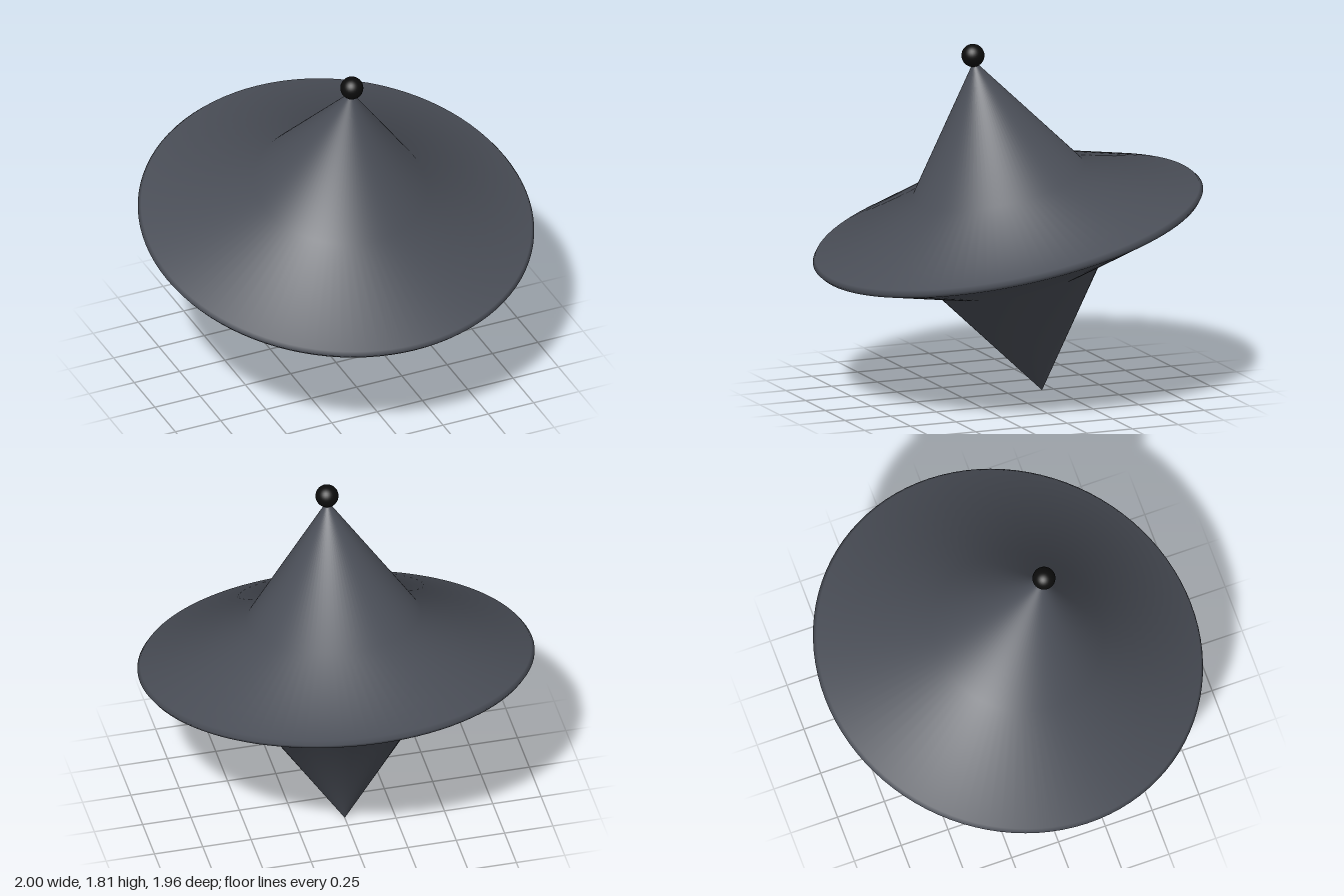
import * as THREE from 'three';

export function createModel() {
  const model = new THREE.Group();
  model.name = 'spinningTop';

  // Everything shares one leaning axis through the centre of the disc
  const top = new THREE.Group();
  top.name = 'tiltedTop';
  top.position.y = 0.867;
  top.rotation.x = 0.212;
  model.add(top);

  // Body: lower cone, flared disc with a thin rim, upper cone
  const profile = [
    [0, -0.885], [0.44, -0.243], [0.985, -0.02], [1, 0],
    [0.985, 0.02], [0.44, 0.243], [0, 0.885],
  ].map(([r, y]) => new THREE.Vector2(r, y));
  const body = new THREE.Mesh(
    new THREE.LatheGeometry(profile, 96),
    new THREE.MeshStandardMaterial({ color: 0x4a4e57 })
  );
  body.name = 'body';
  top.add(body);

  // Knob on the upper point
  const knob = new THREE.Mesh(
    new THREE.SphereGeometry(0.058, 32, 20),
    new THREE.MeshStandardMaterial({ color: 0x0c0c0c })
  );
  knob.name = 'knob';
  knob.position.y = 0.912;
  top.add(knob);

  return model;
}
